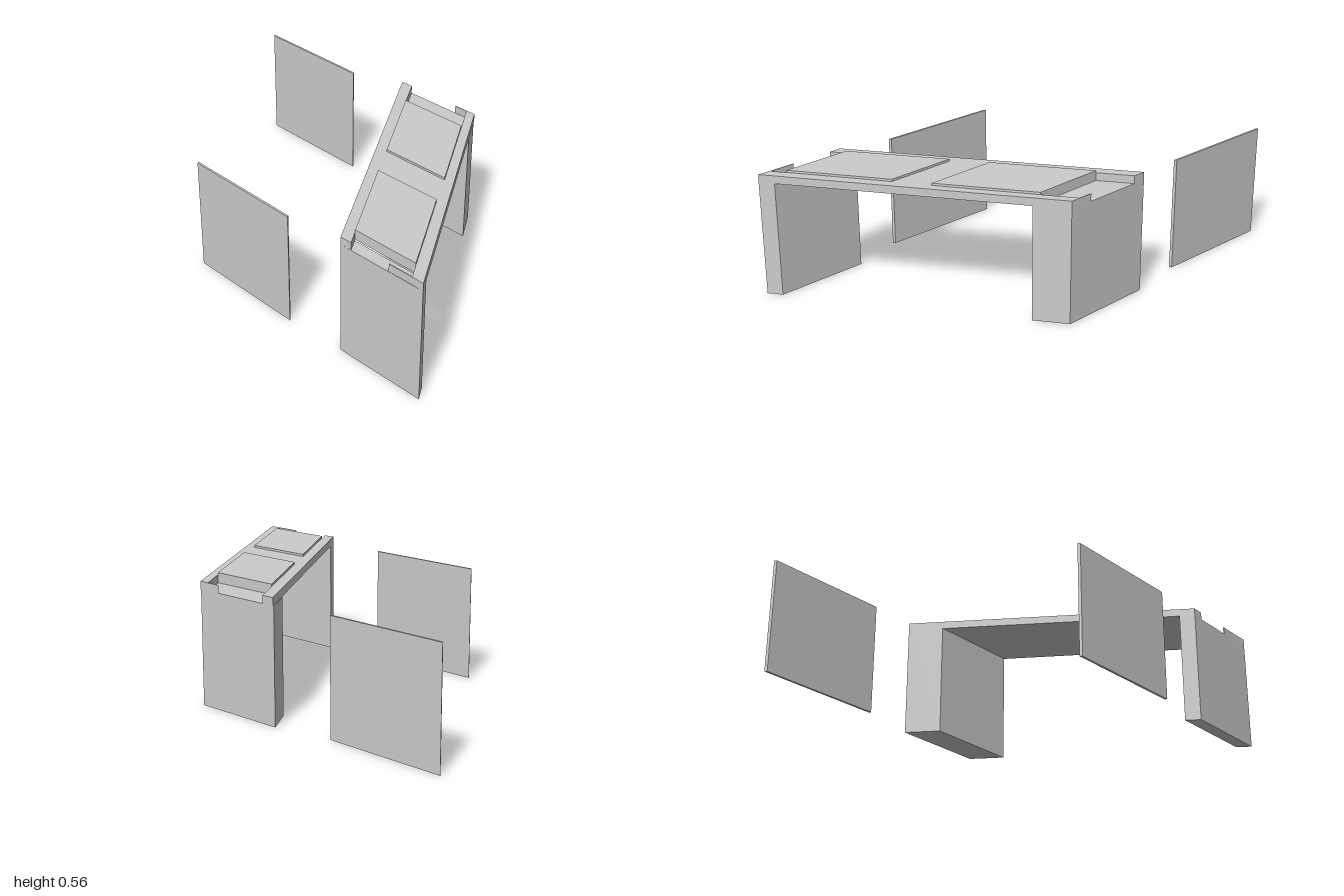
import * as THREE from 'three';

const material = new THREE.MeshStandardMaterial({ color: 0xcccccc, flatShading: true });

// Upright prism from a plan outline of [x, z] points, between heights y0 and y1
function prism(name, plan, y0, y1) {
  const shape = new THREE.Shape(plan.map(([x, z]) => new THREE.Vector2(x, -z)));
  const geometry = new THREE.ExtrudeGeometry(shape, { depth: y1 - y0, bevelEnabled: false });
  geometry.rotateX(-Math.PI / 2);
  geometry.translate(0, y0, 0);
  const mesh = new THREE.Mesh(geometry, material);
  mesh.name = name;
  return mesh;
}

// Skewed strip: an edge from a to b, swept by depth along z
function skewPlan(a, b, depth) {
  return [a, b, [b[0], b[1] + depth], [a[0], a[1] + depth]];
}

export function createModel() {
  const group = new THREE.Group();
  const legTop = 0.515, deckTop = 0.55, padTop = 0.56;

  // Deck with a notch cut into each slanted end
  group.add(prism('deck', [
    [0.18, -0.565], [0.23, -0.532], [0.23, -0.37], [0.51, -0.19], [0.51, -0.351], [0.55, -0.325],
    [0.542, 0.998], [0.495, 0.966], [0.495, 0.89], [0.228, 0.72], [0.228, 0.795], [0.18, 0.765],
  ], legTop, deckTop));

  // Thin end lips partly closing the notches
  group.add(prism('frontLip', skewPlan([0.395, 0.898], [0.495, 0.962], 0.004), legTop, deckTop));
  group.add(prism('backLip', skewPlan([0.455, -0.387], [0.51, -0.351], 0.004), legTop, deckTop));

  // Raised pads on the deck
  group.add(prism('backPad', [[0.23, -0.37], [0.51, -0.19], [0.506, 0.262], [0.23, 0.085]], deckTop, padTop));
  group.add(prism('frontPad', [[0.228, 0.26], [0.5, 0.432], [0.495, 0.89], [0.228, 0.72]], deckTop, padTop));

  // Slab legs, whose tops form the notch floors
  group.add(prism('frontLeg', skewPlan([0.18, 0.695], [0.542, 0.928], 0.07), 0, legTop));
  group.add(prism('backLeg', skewPlan([0.177, -0.565], [0.548, -0.325], 0.16), 0, legTop));

  // Free-standing thin panels
  group.add(prism('backPanel', skewPlan([-0.552, -1], [-0.075, -0.676], 0.012), 0, legTop));
  group.add(prism('frontPanel', skewPlan([-0.546, 0.286], [-0.068, 0.61], 0.012), 0, legTop));

  return group;
}
